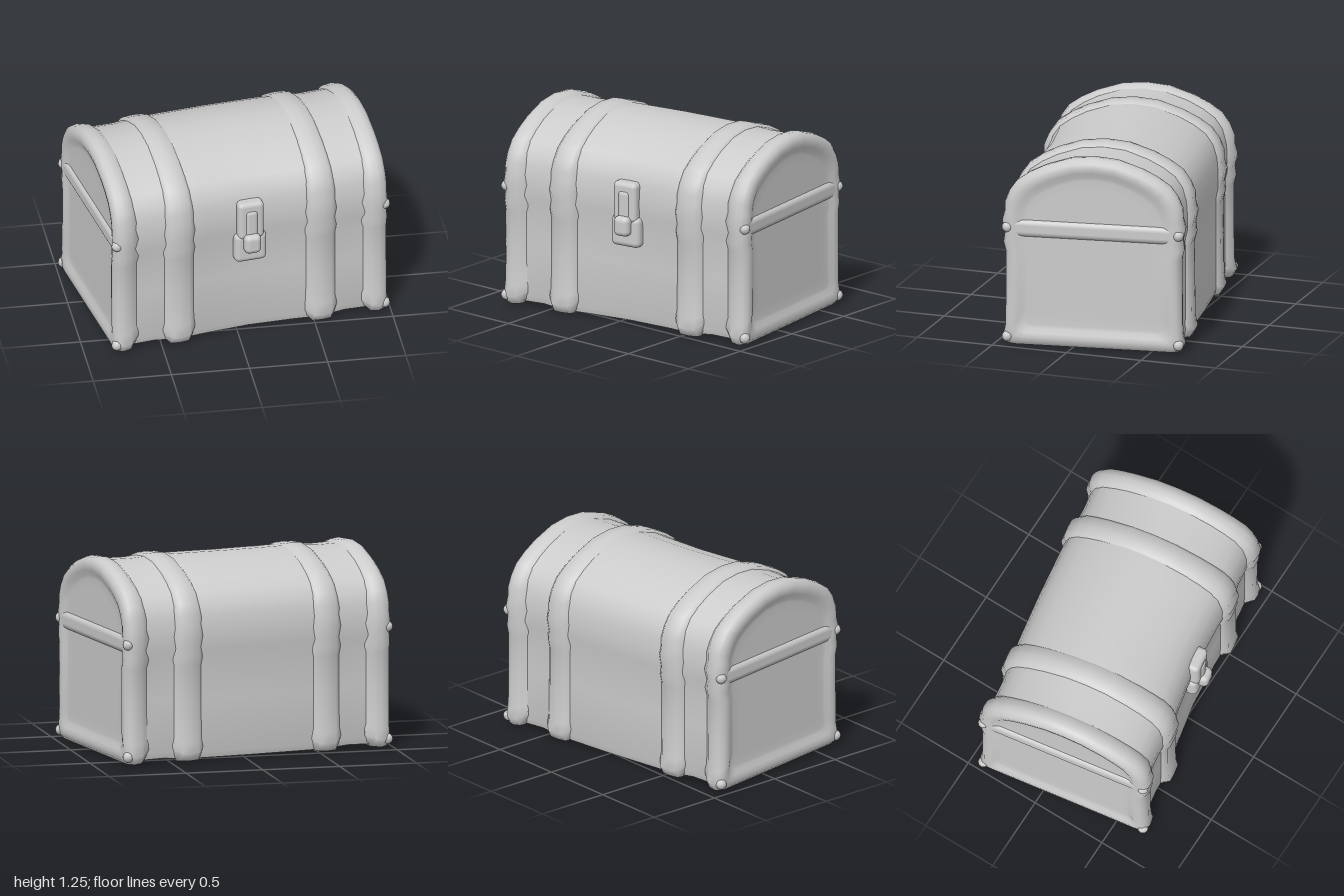
import * as THREE from 'three';
import { toCreasedNormals } from 'three/addons/utils/BufferGeometryUtils.js';
import { RoundedBoxGeometry } from 'three/addons/geometries/RoundedBoxGeometry.js';

const material = new THREE.MeshStandardMaterial({ color: 0xcccccc });
const HALF_DEPTH = 0.57, MID_Y = 0.626;

// Front half of the cross-sections as [z, y], from the bottom up to the crown
const arch = [[0.49, 1.08], [0.41, 1.135], [0.31, 1.185], [0.15, 1.238], [0, 1.252]];
const bandHalf = [[0.51, 0.004], [0.555, 0.012], [0.582, 0.06], [0.567, 0.13], [0.564, 0.4],
  [0.564, 0.62], [0.579, 0.68], [0.571, 0.74], [0.588, 0.82], [0.571, 0.88], [0.569, 0.94], [0.54, 1.01], ...arch];
const bodyHalf = [[0.44, 0.018], [0.51, 0], [0.55, 0.01], [0.562, 0.05], [0.56, 0.4],
  [0.56, 0.65], [0.573, 0.72], [0.576, 0.82], [0.566, 0.93], [0.54, 1.01], ...arch];

// Mirrors a half section into a closed ring: up the front, down the back
const ring = half => [...half, ...half.slice(0, -1).reverse().map(([z, y]) => [-z, y])];

// Skins stations [x, depth offset, height offset, z shift] along x, with both ends capped
function loft(half, stations) {
  const section = ring(half), n = section.length;
  const pos = [], idx = [];
  for (const [x, oz, oy = oz, dz = 0] of stations) {
    const sz = (HALF_DEPTH + oz) / HALF_DEPTH, sy = (MID_Y + oy) / MID_Y;
    for (const [z, y] of section) pos.push(x, MID_Y + (y - MID_Y) * sy, z * sz + dz);
  }
  for (let i = 0; i < stations.length - 1; i++) {
    for (let j = 0; j < n; j++) {
      const k = (j + 1) % n;
      const a = i * n + j, b = a + n, c = (i + 1) * n + k, d = i * n + k;
      idx.push(a, b, c, a, c, d);
    }
  }
  const first = pos.length / 3, last = first + 1, end = (stations.length - 1) * n;
  pos.push(stations[0][0], MID_Y, 0, stations.at(-1)[0], MID_Y, 0);
  for (let j = 0; j < n; j++) {
    const k = (j + 1) % n;
    idx.push(first, j, k, last, end + k, end + j);
  }
  const g = new THREE.BufferGeometry();
  g.setAttribute('position', new THREE.Float32BufferAttribute(pos, 3));
  g.setIndex(idx);
  return toCreasedNormals(g, 0.95);
}

function add(parent, name, geometry, x = 0, y = 0, z = 0) {
  const mesh = new THREE.Mesh(geometry, material);
  mesh.name = name;
  mesh.position.set(x, y, z);
  parent.add(mesh);
}

const box = (w, h, d, r) => new RoundedBoxGeometry(w, h, d, 3, r);

export function createModel() {
  const model = new THREE.Group();
  model.name = 'treasureChest';
  const chest = new THREE.Group();
  chest.name = 'chest';
  chest.rotation.y = 0.15; // the chest stands slightly turned
  model.add(chest);

  // Body and domed lid, hollow at the front between the bands, with a shallow rimmed underside
  add(chest, 'body', loft(bodyHalf, [
    [-0.84, -0.032, -0.018], [-0.63, -0.034, -0.022], [-0.47, -0.022, -0.01],
    [-0.3, -0.028, -0.01, -0.012], [0, -0.034, -0.01, -0.022], [0.3, -0.028, -0.01, -0.012],
    [0.47, -0.022, -0.01], [0.63, -0.034, -0.022], [0.84, -0.032, -0.018],
  ]));

  const bandProfile = [[-0.105, -0.045], [-0.085, -0.022], [-0.06, 0], [0, 0.003], [0.06, 0], [0.085, -0.022], [0.105, -0.045]];
  // Rounded end frame around a shallow end panel
  const frameProfile = [[0.74, -0.045], [0.77, -0.024], [0.795, -0.003], [0.845, 0.003], [0.88, -0.004],
    [0.903, -0.028], [0.908, -0.06], [0.902, -0.088], [0.887, -0.118], [0.884, -0.14], [0.884, -0.2]];

  for (const side of [1, -1]) {
    const label = side > 0 ? 'left' : 'right';
    add(chest, label + 'Band', loft(bandHalf, bandProfile.map(([x, o]) => [x + side * 0.47, o])));

    const frame = frameProfile.map(([x, o]) => [side * x, o]);
    if (side < 0) frame.reverse();
    add(chest, label + 'EndFrame', loft(bandHalf, frame));

    // Soft rail across the end, between the lid panel and the lower panel
    add(chest, label + 'EndRail', box(0.09, 0.12, 1.08, 0.04), side * 0.859, 0.775, 0);

    // Small swellings on the frame at the feet and the lid seam
    for (const z of [0.55, -0.55]) {
      for (const y of [0.06, 0.78]) {
        add(chest, label + 'FrameStud', new THREE.SphereGeometry(0.035, 10, 8), side * 0.888, y, z);
      }
    }
  }

  // Front lock
  const lock = new THREE.Group();
  lock.name = 'lock';
  chest.add(lock);
  add(lock, 'lockPlate', box(0.21, 0.2, 0.12, 0.035), 0, 0.62, 0.51);
  add(lock, 'hasp', box(0.17, 0.26, 0.12, 0.03), 0, 0.815, 0.515);
  add(lock, 'haspTongue', box(0.09, 0.26, 0.1, 0.03), 0, 0.765, 0.535);
  add(lock, 'lockKnob', box(0.11, 0.13, 0.12, 0.035), 0, 0.665, 0.563);

  return model;
}
